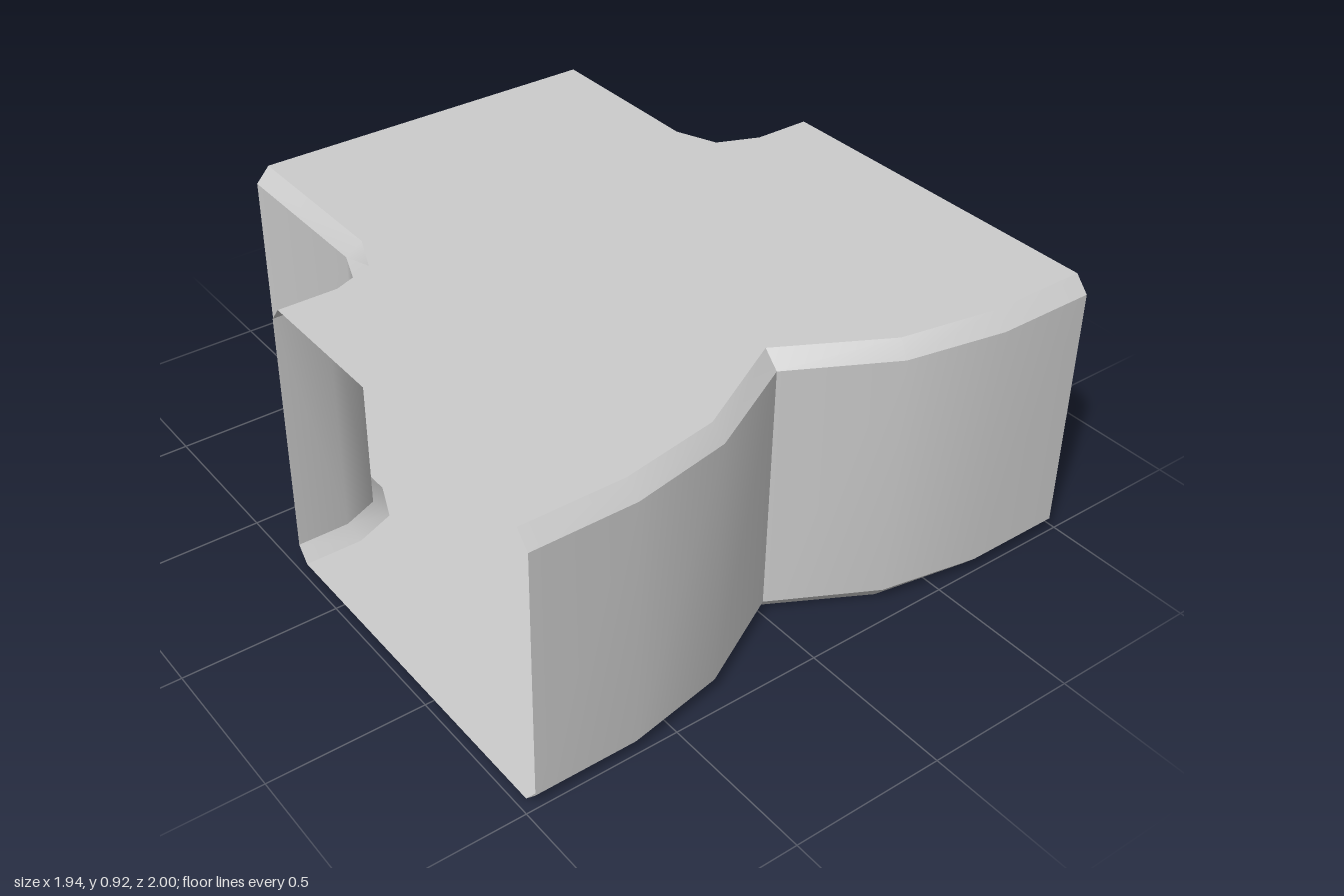
import * as THREE from 'three';
import { toCreasedNormals } from 'three/addons/utils/BufferGeometryUtils.js';

const HEIGHT = 0.92, BEVEL = 0.05;

// Plan outlines as [x, z]: the wall line and the inset line of roof and floor
const mirror = (path) => path.map(([x, z]) => [-x, z]).reverse();
const frontHalf = {
  wall: [[0, 0.77], [0.32, 0.94], [0.64, 1], [0.97, 1]],
  inset: [[0, 0.72], [0.33, 0.9], [0.645, 0.955], [0.97, 0.955]],
};
const corner = {
  wall: [[0.97, -0.27], [0.8, -0.27], [0.68, -0.32], [0.635, -0.44], [0.635, -1]],
  inset: [[0.97, -0.23], [0.78, -0.23], [0.645, -0.285], [0.59, -0.42], [0.59, -1]],
};
const bothHalves = (half) => [...mirror(half).slice(0, -1), ...half];
const sides = {
  front: { wall: bothHalves(frontHalf.wall), inset: bothHalves(frontHalf.inset) },
  left: corner,
  right: { wall: mirror(corner.wall), inset: mirror(corner.inset) },
};

// Open strip between a lower and an upper path
function strip(lower, y0, upper, y1, crease) {
  const positions = [], index = [];
  lower.forEach(([x, z], i) => {
    positions.push(x, y0, z, upper[i][0], y1, upper[i][1]);
    if (i) {
      const a = 2 * i - 2;
      index.push(a, a + 2, a + 3, a, a + 3, a + 1);
    }
  });
  const geometry = new THREE.BufferGeometry();
  geometry.setAttribute('position', new THREE.Float32BufferAttribute(positions, 3));
  geometry.setIndex(index);
  return toCreasedNormals(geometry, crease);
}

export function createModel() {
  const group = new THREE.Group();
  group.name = 'corridorJunction';
  const material = new THREE.MeshStandardMaterial({ color: 0xcccccc, side: THREE.DoubleSide });
  const add = (name, geometry, parent = group) => {
    const mesh = new THREE.Mesh(geometry, material);
    mesh.name = name;
    parent.add(mesh);
    return mesh;
  };

  // Walls with a slanted edge along floor and roof; the three passage ends stay open
  for (const [name, { wall, inset }] of Object.entries(sides)) {
    const side = new THREE.Group();
    side.name = `${name}Side`;
    add(`${name}Wall`, strip(wall, BEVEL, wall, HEIGHT - BEVEL, 0.87), side);
    add(`${name}LowerBevel`, strip(inset, 0, wall, BEVEL, 0.6), side);
    add(`${name}UpperBevel`, strip(wall, HEIGHT - BEVEL, inset, HEIGHT, 0.6), side);
    group.add(side);
  }

  // Flat floor and roof within the inset outline
  const outline = [...sides.front.inset, ...sides.left.inset, ...sides.right.inset];
  const plate = (sign) => new THREE.ShapeGeometry(
    new THREE.Shape(outline.map(([x, z]) => new THREE.Vector2(x, sign * z)))
  ).rotateX(sign * Math.PI / 2);
  add('floor', plate(1));
  add('roof', plate(-1)).position.y = HEIGHT;

  return group;
}
